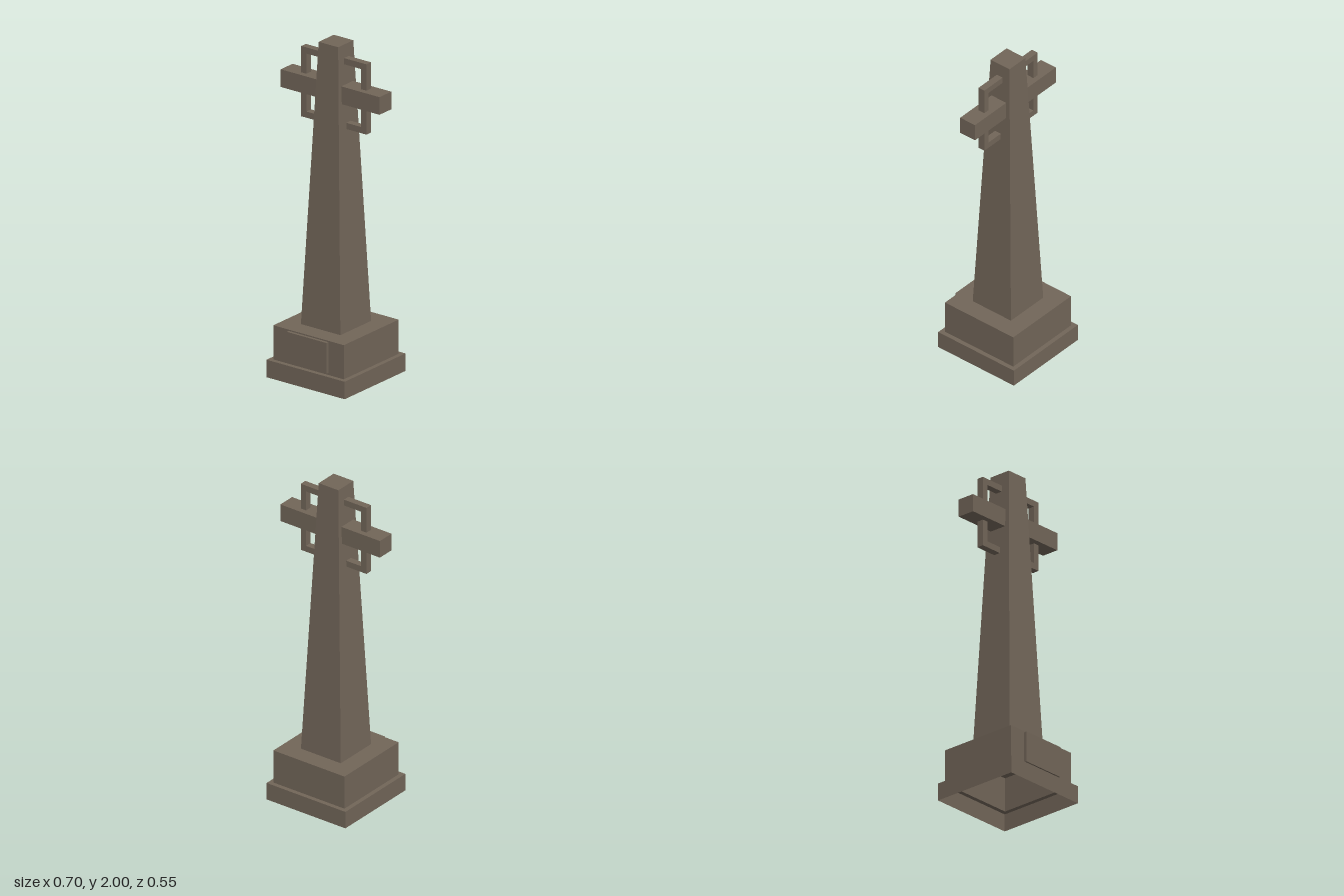
import * as THREE from 'three';

export function createModel() {
  const model = new THREE.Group();
  model.name = 'stoneCrossMonument';

  const stone = new THREE.MeshStandardMaterial({ color: 0x716558, side: THREE.DoubleSide });
  stone.name = 'brown stone';

  const add = (name, geometry, x = 0, y = 0, z = 0) => {
    const mesh = new THREE.Mesh(geometry, stone);
    mesh.name = name;
    mesh.position.set(x, y, z);
    model.add(mesh);
    return mesh;
  };

  // Square, flat-faced solid from [half width, height] pairs, bottom to top
  const squareProfile = (pairs) => {
    const points = pairs.map(([half, y]) => new THREE.Vector2(half * Math.SQRT2, y));
    const geometry = new THREE.LatheGeometry(points, 4).rotateY(Math.PI / 4).toNonIndexed();
    geometry.computeVertexNormals();
    return geometry;
  };

  // Stepped pedestal, hollow and open underneath
  add('plinth', squareProfile([[0.277, 0], [0.277, 0.105], [0.25, 0.105]]));
  add('pedestal', squareProfile([[0.25, 0.105], [0.25, 0.31], [0, 0.31]]));

  // Raised blank panel on the front of the pedestal
  add('frontPanel', new THREE.BoxGeometry(0.28, 0.185, 0.02), 0, 0.21, 0.258);

  // Tapered shaft with a flat top
  add('shaft', squareProfile([[0.14, 0.31], [0.069, 2], [0, 2]]));

  // Cross arm running through the shaft
  add('crossArm', new THREE.BoxGeometry(0.7, 0.106, 0.108), 0, 1.71, 0);

  // Thin square frame around the crossing
  const rectangle = (Shape, w, h) => new Shape([
    new THREE.Vector2(-w, -h), new THREE.Vector2(w, -h),
    new THREE.Vector2(w, h), new THREE.Vector2(-w, h),
  ]);
  const frame = rectangle(THREE.Shape, 0.231, 0.211);
  frame.holes.push(rectangle(THREE.Path, 0.194, 0.174));
  add('crossFrame', new THREE.ExtrudeGeometry(frame, { depth: 0.042, bevelEnabled: false }), 0, 1.71, -0.022);

  return model;
}
